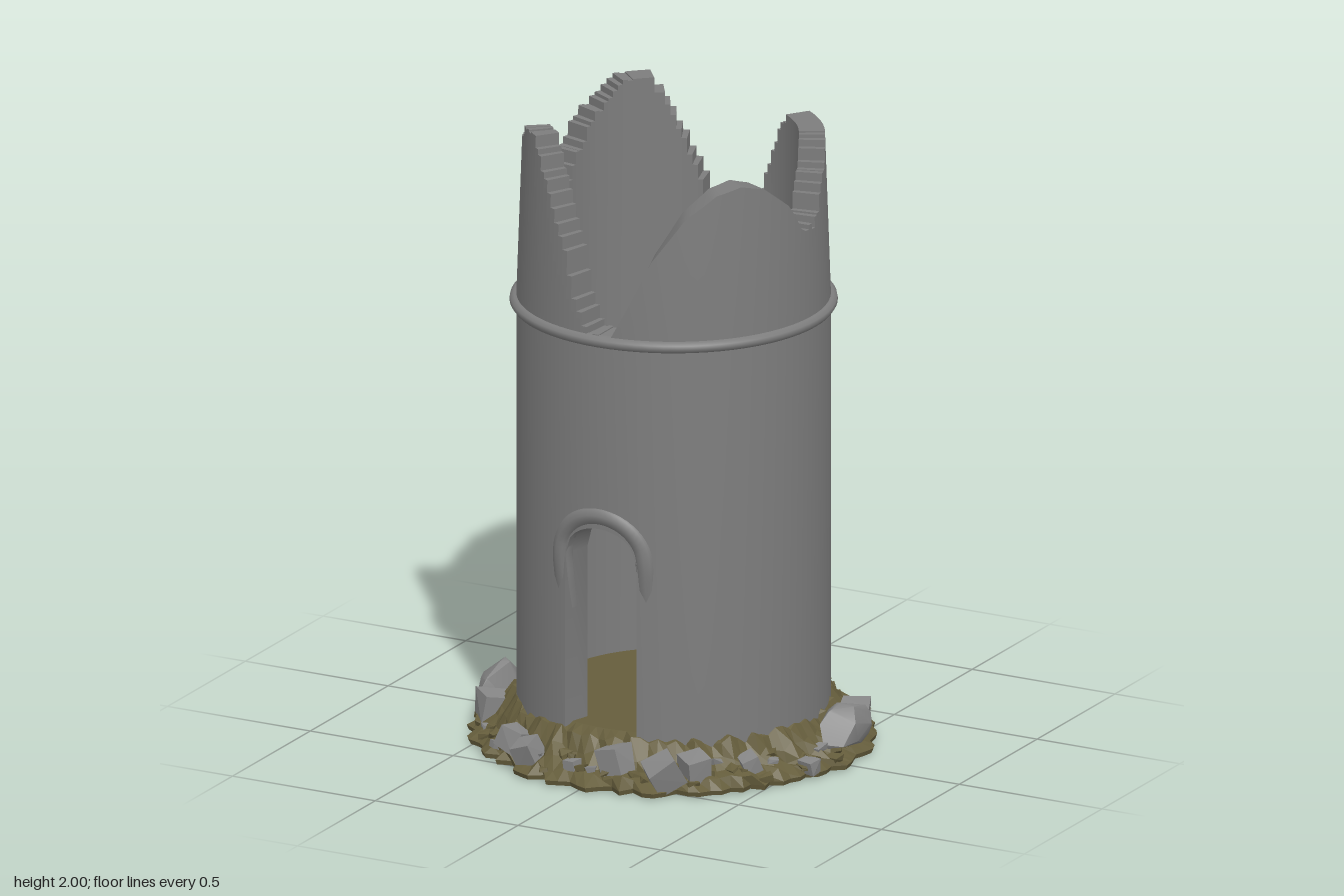
import * as THREE from 'three';
import { toCreasedNormals } from 'three/addons/utils/BufferGeometryUtils.js';
import { ConvexGeometry } from 'three/addons/geometries/ConvexGeometry.js';

const STEP = 2.5, DOOR = 15, R_IN = 0.385, BAND = 1.42;
const rad = THREE.MathUtils.degToRad;

function seeded(seed) {
  return () => {
    seed = (seed * 16807) % 2147483647;
    return seed / 2147483647;
  };
}

// Broken rim heights by angle away from the door axis
const RAGGED = [[0, 1.43], [5, 1.43], [12, 1.55], [16, 1.67], [24, 1.81], [32, 1.92],
  [40, 2], [50, 2], [58, 1.96], [68, 1.89], [78, 1.8], [85, 1.71], [90, 1.71]];
const WORN = [[0, 1.43], [5, 1.43], [12, 1.54], [20, 1.68], [33, 1.82], [45, 1.89],
  [55, 1.91], [65, 1.89], [78, 1.81], [86, 1.71], [90, 1.71]];

function heightAt(table, a) {
  const i = Math.max(1, table.findIndex(p => p[0] >= a));
  const [a0, h0] = table[i - 1], [a1, h1] = table[i];
  return THREE.MathUtils.lerp(h0, h1, (a - a0) / (a1 - a0));
}

// Ring wall with two arched doorways and a stepped, broken rim
function wallGeometry() {
  const stations = [];
  const fold = d => { const m = d % 180; return m > 90 ? 180 - m : m; };
  const rand = seeded(11);
  for (let d = 0; d < 360; d += STEP) {
    const mid = fold(d + STEP / 2);
    const smooth = d < 90;
    const limit = d >= 90 && d < 180 ? 1.95 : 2;
    const jitter = (rand() - 0.5) * 0.03;
    for (const e of [d, d + STEP]) {
      const a = fold(e);
      const top = smooth ? heightAt(WORN, a)
        : Math.min(limit, Math.max(1.43, heightAt(RAGGED, mid) + jitter));
      const bottom = mid < DOOR ? 0.7 + 0.105 * Math.sqrt(Math.max(0, 1 - (a / DOOR) ** 2)) : 0.08;
      stations.push({ d: e, top, bottom });
    }
  }
  const pos = [];
  const point = (s, r, y) => [r * Math.sin(rad(s.d)), y, r * Math.cos(rad(s.d))];
  const outer = (s, y) => point(s, 0.484 - Math.max(0, y - BAND) * 0.035, y);
  const inner = (s, y) => point(s, R_IN, y);
  const quad = (a, b, c, d) => pos.push(...a, ...b, ...c, ...a, ...c, ...d);
  stations.forEach((s, i) => {
    const n = stations[(i + 1) % stations.length];
    const across = i % 2 === 0;
    if (across) {
      for (const [sl, sh, nl, nh] of [[s.bottom, BAND, n.bottom, BAND], [BAND, s.top, BAND, n.top]]) {
        quad(outer(s, sl), outer(n, nl), outer(n, nh), outer(s, sh));
        quad(inner(n, nl), inner(s, sl), inner(s, sh), inner(n, nh));
      }
    }
    if (across || Math.abs(s.top - n.top) > 1e-5)
      quad(outer(s, s.top), outer(n, n.top), inner(n, n.top), inner(s, s.top));
    if (across || Math.abs(s.bottom - n.bottom) > 1e-5)
      quad(inner(s, s.bottom), inner(n, n.bottom), outer(n, n.bottom), outer(s, s.bottom));
  });
  const g = new THREE.BufferGeometry();
  g.setAttribute('position', new THREE.Float32BufferAttribute(pos, 3));
  return toCreasedNormals(g, 0.6);
}

// Earth mound: a lathe with a roughened, ragged skirt
function moundGeometry() {
  const profile = [[0, 0], [0.61, 0], [0.615, 0.015], [0.585, 0.04], [0.55, 0.055],
    [0.52, 0.09], [0.49, 0.135], [0.45, 0.15], [0, 0.15]];
  const segs = 110, count = profile.length;
  const g = new THREE.LatheGeometry(profile.map(p => new THREE.Vector2(...p)), segs);
  const p = g.attributes.position, rand = seeded(5);
  const noise = Array.from({ length: segs * count }, () => rand() - 0.5);
  for (let i = 0; i <= segs; i++) for (let j = 1; j < 7; j++) {
    const k = i * count + j, n = (i % segs) * count;
    const edge = j < 3 ? noise[n + 1] * 0.05 : noise[n + j] * 0.03;
    const s = 1 + edge / 0.55;
    const lift = j > 2 ? noise[n + j - 1] * 0.03 : 0;
    p.setXYZ(k, p.getX(k) * s, p.getY(k) + lift, p.getZ(k) * s);
  }
  const flat = g.toNonIndexed();
  flat.computeVertexNormals();
  return flat;
}

// Rough block: convex hull of a box with shifted corners
function blockGeometry(w, h, d, rand, rough = 0.3) {
  const pts = [];
  for (const x of [-1, 1]) for (const y of [-1, 1]) for (const z of [-1, 1]) {
    const j = () => 1 - rand() * rough;
    pts.push(new THREE.Vector3(x * w / 2 * j(), y * h / 2 * j(), z * d / 2 * j()));
  }
  return new ConvexGeometry(pts);
}

// Boulder: squashed faceted lump
function boulderGeometry(w, h, d, rand) {
  const pts = [];
  for (let i = 0; i < 26; i++) {
    const t = rand() * Math.PI * 2, y = rand() * 2 - 1, r = Math.sqrt(1 - y * y);
    pts.push(new THREE.Vector3(r * Math.cos(t) * w / 2, y * h / 2, r * Math.sin(t) * d / 2));
  }
  return toCreasedNormals(new ConvexGeometry(pts), 0.7);
}

export function createModel() {
  const stone = new THREE.MeshStandardMaterial({ color: 0x7d7d7d });
  stone.name = 'grey stone';
  const rubble = new THREE.MeshStandardMaterial({ color: 0x868686 });
  rubble.name = 'light rubble';
  const earth = new THREE.MeshStandardMaterial({ color: 0x655d3c });
  earth.name = 'mossy earth';

  const model = new THREE.Group();
  model.name = 'ruinedTower';
  const add = (name, geometry, material, parent = model) => {
    const m = new THREE.Mesh(geometry, material);
    m.name = name;
    parent.add(m);
    return m;
  };

  add('groundMound', moundGeometry(), earth);
  add('towerWall', wallGeometry(), stone);

  // Thin band around the wall below the broken rim
  const band = [[0.475, 1.395], [0.497, 1.398], [0.505, 1.41], [0.503, 1.422], [0.492, 1.43], [0.475, 1.432]];
  add('stringCourse', new THREE.LatheGeometry(band.map(p => new THREE.Vector2(...p)), 72), stone);

  // Rounded hoods over both doorways, sinking into the wall at their feet
  const path = [];
  const hoodPoint = (x, y, sink) => path.push(new THREE.Vector3(x, y, Math.sqrt(0.484 ** 2 - x * x) - sink));
  hoodPoint(-0.142, 0.52, 0.045);
  hoodPoint(-0.144, 0.62, 0.028);
  for (let i = 0; i <= 8; i++) {
    const t = Math.PI * (1 - i / 8);
    hoodPoint(0.145 * Math.cos(t), 0.7 + 0.145 * Math.sin(t), 0.018);
  }
  hoodPoint(0.144, 0.62, 0.028);
  hoodPoint(0.142, 0.52, 0.045);
  const hood = new THREE.TubeGeometry(new THREE.CatmullRomCurve3(path), 48, 0.032, 10);
  add('frontDoorHood', hood, stone);
  add('backDoorHood', hood, stone).rotation.y = Math.PI;

  // Fallen blocks: x, z, size
  const rand = seeded(77);
  const blocks = new THREE.Group();
  blocks.name = 'fallenBlocks';
  model.add(blocks);
  [[-0.25, -0.54, 0.11], [-0.325, -0.465, 0.085], [-0.1, -0.55, 0.1], [0.18, -0.525, 0.09],
    [0.51, -0.225, 0.1], [-0.56, -0.22, 0.075], [-0.51, 0.225, 0.1], [-0.3, 0.47, 0.09],
    [-0.22, 0.53, 0.085], [0.09, 0.535, 0.1], [0.25, 0.53, 0.11], [0.32, 0.455, 0.09],
    [0.44, 0.32, 0.065], [-0.05, 0.56, 0.05], [0.57, 0.17, 0.055], [-0.6, -0.1, 0.05]]
    .forEach(([x, z, s]) => {
      const b = add('fallenBlock', blockGeometry(s, s * 0.95, s * 1.05, rand), rubble, blocks);
      const slope = (0.62 - Math.hypot(x, z)) * 0.5;
      b.position.set(x, Math.max(s * 0.5, slope + s * 0.45), z);
      b.rotation.set((rand() - 0.5) * 0.7, Math.atan2(x, z) + rand() - 0.5, (rand() - 0.5) * 0.7);
    });

  // Large boulders on either side
  const right = add('leftBoulder', boulderGeometry(0.14, 0.15, 0.28, rand), rubble);
  right.position.set(0.56, 0.095, -0.075);
  right.rotation.y = 0.1;
  const left = add('rightBoulder', boulderGeometry(0.14, 0.15, 0.28, rand), rubble);
  left.position.set(-0.56, 0.095, 0.065);
  left.rotation.y = 0.1;

  // Loose clods and pebbles scattered over the skirt
  const debris = new THREE.Group();
  debris.name = 'looseDebris';
  model.add(debris);
  for (let i = 0; i < 90; i++) {
    const t = (i + rand()) / 90 * Math.PI * 2, r = 0.515 + rand() * 0.09, s = 0.025 + rand() * 0.03;
    const isStone = i % 5 === 0;
    const c = add(isStone ? 'pebble' : 'clod', blockGeometry(s, s * 0.6, s * 1.3, rand, 0.6),
      isStone ? rubble : earth, debris);
    c.position.set(r * Math.sin(t), 0.025 + (0.61 - r) * 0.6, r * Math.cos(t));
    c.rotation.set((rand() - 0.5) * 0.6, rand() * 6, (rand() - 0.5) * 0.6);
  }
  return model;
}
